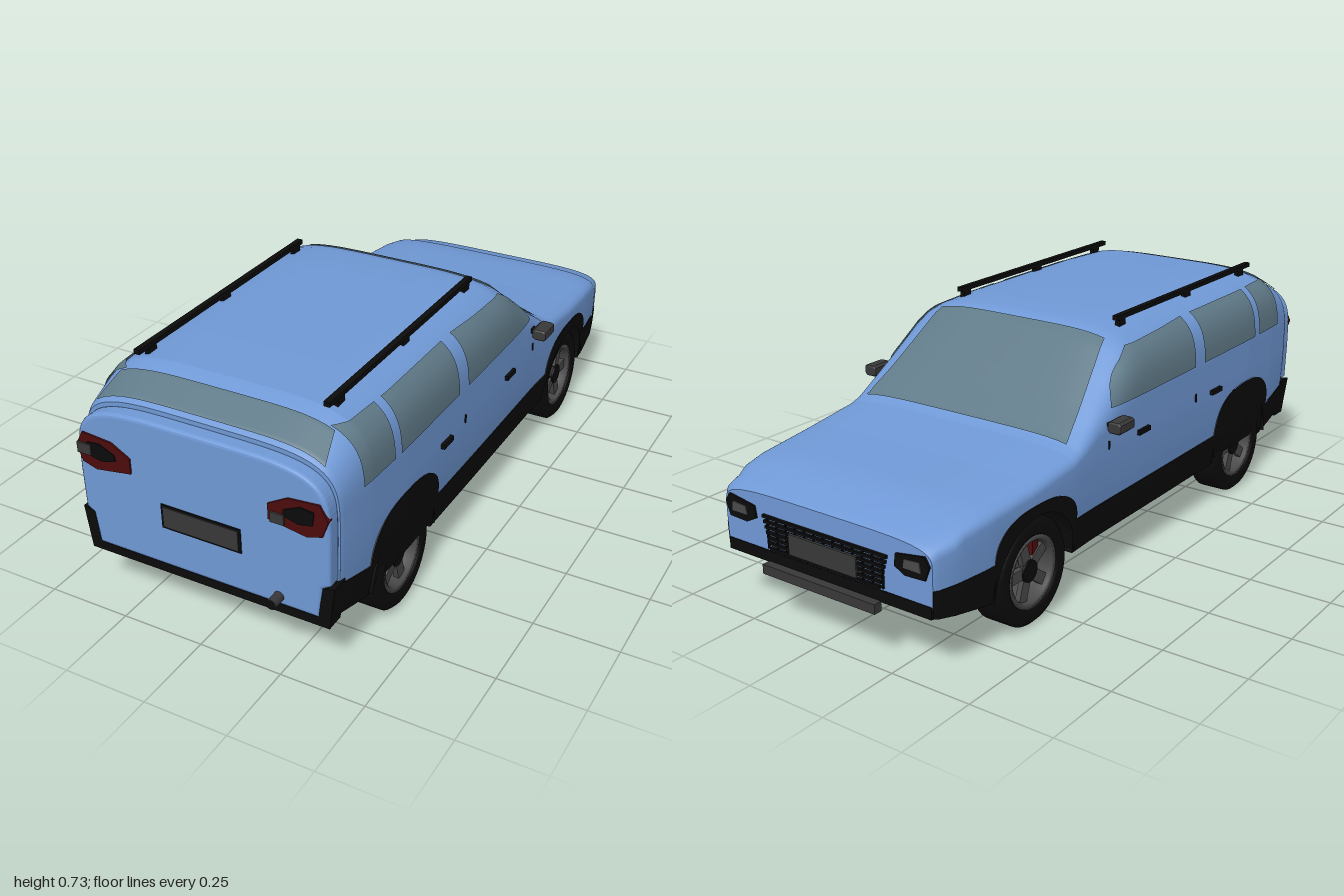
import * as THREE from 'three';

const mat = (name, color, double) => {
  const m = new THREE.MeshStandardMaterial({ color });
  m.name = name;
  if (double) m.side = THREE.DoubleSide;
  return m;
};

// Body stations: z, half width, top height (tail is +z)
const KEYS = [
  [-0.965, 0.365, 0.366], [-0.95, 0.375, 0.38], [-0.9, 0.388, 0.389], [-0.87, 0.393, 0.406],
  [-0.8, 0.402, 0.417], [-0.6, 0.412, 0.433], [-0.42, 0.414, 0.455], [-0.38, 0.414, 0.468],
  [-0.3, 0.414, 0.53], [-0.2, 0.414, 0.615], [-0.13, 0.414, 0.674], [-0.09, 0.414, 0.696],
  [-0.05, 0.414, 0.705], [0.1, 0.414, 0.712], [0.6, 0.411, 0.713], [0.78, 0.404, 0.708],
  [0.83, 0.4, 0.691], [0.9, 0.393, 0.656], [0.915, 0.388, 0.642]];
const P = 4.5;
const ARCH = { front: { z: -0.58, half: 0.18, top: 0.36 }, rear: { z: 0.585, half: 0.19, top: 0.385 } };
const lerp = THREE.MathUtils.lerp;

function station(z) {
  let i = 0;
  while (i < KEYS.length - 2 && z > KEYS[i + 1][0]) i++;
  const a = KEYS[i], b = KEYS[i + 1];
  const t = THREE.MathUtils.clamp((z - a[0]) / (b[0] - a[0]), 0, 1);
  const w = lerp(a[1], b[1], t), top = lerp(a[2], b[2], t);
  return { w, top, belt: Math.min(0.42, top - 0.07) };
}

// Half width of the body at a height, and roof height at a half width
function sideX(z, y) {
  const { w, top, belt } = station(z);
  if (y <= belt) return w * (1 - 0.06 * ((belt - y) / 0.28) ** 2);
  return w * Math.max(0, 1 - Math.min(1, (y - belt) / (top - belt)) ** P) ** (1 / P);
}
function topY(z, x) {
  const { w, top, belt } = station(z);
  return belt + (top - belt) * Math.max(0, 1 - (Math.abs(x) / w) ** P) ** (1 / P);
}

// Lower edge of the paint, bottom of the car, and lower edge of the cladding
function paintY(z) {
  let y = z > 0.77 ? lerp(0.25, 0.285, (z - 0.77) / 0.145) : 0.25;
  for (const { z: c, half, top } of Object.values(ARCH)) {
    const d = Math.abs(z - c) / half;
    if (d < 1) y = Math.max(y, 0.25 + (top - 0.25) * (1 - d ** 2.4) ** (1 / 2.4));
  }
  return y;
}
function floorY(z) {
  if (z > 0.72) return lerp(0.135, 0.185, (z - 0.72) / 0.2);
  if (z < -0.74) return lerp(0.135, 0.172, (-z - 0.74) / 0.22);
  return 0.145;
}
function claddingY(z) {
  const d = Math.abs(z - ARCH.front.z);
  if (d < 0.172) return Math.max(0.145, 0.155 + Math.sqrt(0.172 ** 2 - d * d));
  return Math.abs(z - ARCH.rear.z) < 0.17 ? 0.165 : floorY(z);
}

// Indexed grid surface from a rule f(u, v) -> [x, y, z]
function surface(nu, nv, f) {
  const pos = [], idx = [];
  for (let i = 0; i <= nu; i++) for (let j = 0; j <= nv; j++) pos.push(...f(i / nu, j / nv, i, j));
  for (let i = 0; i < nu; i++) for (let j = 0; j < nv; j++) {
    const a = i * (nv + 1) + j, b = a + nv + 1;
    idx.push(a, a + 1, b, b, a + 1, b + 1);
  }
  const g = new THREE.BufferGeometry();
  g.setAttribute('position', new THREE.Float32BufferAttribute(pos, 3));
  g.setIndex(idx);
  g.computeVertexNormals();
  return g;
}

// Half section from the top centre down to a given height
function halfSection(z, low) {
  const { w, top, belt } = station(z), pts = [];
  for (let i = 0; i <= 22; i++) {
    const a = Math.PI / 2 * (1 - i / 22);
    pts.push([w * Math.max(0, Math.cos(a)) ** (2 / P), belt + (top - belt) * Math.sin(a) ** (2 / P)]);
  }
  pts[0][0] = 0;
  for (let i = 1; i <= 6; i++) {
    const y = lerp(belt, low, i / 6);
    pts.push([sideX(z, y), y]);
  }
  return pts;
}
const fullSection = (z, low) => {
  const h = halfSection(z, low);
  return [...h.slice(1).reverse().map(([x, y]) => [-x, y]), ...h];
};
const toShape = pts => new THREE.Shape(pts.map(p => new THREE.Vector2(...p)));

export function createModel() {
  const car = new THREE.Group();
  car.name = 'car';
  const paint = mat('bluePaint', 0x7099d6, true), black = mat('blackTrim', 0x0b0b0b, true);
  const glass = mat('tintedGlass', 0x607a88, true), grey = mat('darkGrey', 0x383838);
  const rimGrey = mat('rimGrey', 0x4a4a4a), red = mat('darkRed', 0x4c0c0c);

  const add = (name, geo, m, x = 0, y = 0, z = 0, parent = car) => {
    const mesh = new THREE.Mesh(geo, m);
    mesh.name = name;
    mesh.position.set(x, y, z);
    parent.add(mesh);
    return mesh;
  };
  const box = (name, m, w, h, d, x, y, z) => add(name, new THREE.BoxGeometry(w, h, d), m, x, y, z);
  const plate = (name, m, pts, z, depth = 0.005) =>
    add(name, new THREE.ExtrudeGeometry(toShape(pts), { depth, bevelEnabled: false }), m, 0, 0, z);
  const rect = (x, y, w, h) => [[x - w, y - h], [x + w, y - h], [x + w, y + h], [x - w, y + h]];

  // Stations along the body, denser around the arches
  const zs = KEYS.map(k => k[0]);
  for (const { z, half } of Object.values(ARCH))
    for (let i = 0; i <= 28; i++) zs.push(z - half * Math.cos(Math.PI * i / 28));
  zs.push(-0.753, -0.751, -0.409, -0.407, 0.414, 0.416, 0.754, 0.756);
  zs.sort((a, b) => a - b);

  // Painted shell
  const rings = zs.map(z => fullSection(z, paintY(z)));
  add('bodyShell', surface(zs.length - 1, rings[0].length - 1, (u, v, i, j) => [...rings[i][j], zs[i]]), paint);
  add('nosePanel', new THREE.ShapeGeometry(toShape(fullSection(-0.965, 0.2))), paint, 0, 0, -0.965);
  add('rearPanel', new THREE.ShapeGeometry(toShape(fullSection(0.915, 0.19))), paint, 0, 0, 0.915);

  // Floor
  const floor = (z0, z1, narrow) => add('floor', surface(12, 1, (u, v) => {
    const z = lerp(z0, z1, u), y = floorY(z);
    return [(v * 2 - 1) * (narrow ? 0.28 : sideX(z, y)), y, z];
  }), black);
  floor(-0.965, 0.915, true);
  floor(-0.965, -0.755);
  floor(-0.405, 0.412);
  floor(0.757, 0.915);
  box('underTray', black, 0.54, 0.035, 0.85, 0, 0.13, -0.005);

  // Tailgate with rounded top
  const gate = [[-0.345, 0.192], [0.345, 0.192], [0.357, 0.285], [0.38, 0.3]];
  for (let i = 0; i <= 40; i++) {
    const a = Math.PI * i / 40, c = Math.cos(a);
    gate.push([0.383 * Math.sign(c) * Math.abs(c) ** (2 / P), 0.42 + 0.21 * Math.max(0, Math.sin(a)) ** (2 / P)]);
  }
  gate.push([-0.38, 0.3], [-0.357, 0.285]);
  add('tailgate', new THREE.ExtrudeGeometry(toShape(gate), {
    depth: 0.03, bevelThickness: 0.01, bevelSize: 0.012, bevelOffset: -0.012, bevelSegments: 3
  }), paint, 0, 0, 0.92);
  plate('rearBumper', black, [[-0.375, 0.165], [0.375, 0.165], [0.392, 0.295], [0.358, 0.288], [0.342, 0.192],
    [-0.342, 0.192], [-0.358, 0.288], [-0.392, 0.295]], 0.9, 0.055);
  plate('rearPlateFrame', black, rect(0, 0.354, 0.123, 0.037), 0.958);
  plate('rearPlate', grey, rect(0, 0.354, 0.116, 0.031), 0.961);
  const pipe = add('exhaust', new THREE.CylinderGeometry(0.015, 0.015, 0.09, 16), grey, 0.23, 0.22, 0.955);
  pipe.rotation.x = Math.PI / 2;
  add('exhaustOpening', new THREE.CircleGeometry(0.014, 16), black, 0.23, 0.22, 1.0005);
  plate('leftReflector', grey, rect(0.24, 0.47, 0.02, 0.015), 0.967);
  plate('rightReflector', grey, rect(-0.353, 0.497, 0.022, 0.016), 0.967);

  // Nose: grille, plate and bumper
  for (let i = 0; i < 7; i++) box('grilleBar', black, 0.44 - i * 0.008, 0.008, 0.012, 0, 0.305 - i * 0.015, -0.967);
  for (let i = -6; i <= 6; i++) box('grilleSlat', black, 0.004, 0.095, 0.008, i * 0.034, 0.26, -0.967);
  box('frontPlate', grey, 0.24, 0.06, 0.006, 0, 0.25, -0.974);
  box('frontLip', black, 0.72, 0.034, 0.06, 0, 0.188, -0.938);
  box('frontBar', grey, 0.4, 0.028, 0.026, 0, 0.165, -0.987);

  // Windscreen and rear window follow the shell
  const topGlass = (name, z0, z1, w0, w1, dz) => add(name, surface(24, 24, (u, v) => {
    const z = lerp(z0, z1, u), x = (v * 2 - 1) * lerp(w0, w1, u);
    return [x, topY(z, x) + 0.004, z + dz];
  }), glass);
  topGlass('windscreen', -0.388, -0.1, 0.366, 0.3, -0.003);
  topGlass('rearWindow', 0.822, 0.905, 0.325, 0.345, 0.003);

  for (const s of [1, -1]) {
    const mirror = pts => pts.map(([x, y]) => [x * s, y]);

    // Side cladding and arches
    add('sideCladding', surface(zs.length - 1, 4, (u, v, i) => {
      const z = zs[i], y = lerp(paintY(z), claddingY(z), v);
      return [s * (sideX(z, y) + 0.002), y, z];
    }), black);

    // Side windows: rear and front edge given as z at the bottom and top
    const sideGlass = [['quarterWindow', 0.82, 0.82, 0.668, 0.668], ['rearDoorWindow', 0.636, 0.636, 0.292, 0.292],
      ['frontDoorWindow', 0.235, 0.235, -0.232, -0.085]];
    for (const [name, a0, a1, b0, b1] of sideGlass)
      add(name, surface(24, 14, (u, v) => {
        const bow = b0 === b1 ? 0 : 0.025 * Math.sin(Math.PI * v) * u;
        const z = lerp(lerp(a0, a1, v), lerp(b0, b1, v), u) - bow;
        const y = lerp(0.522, lerp(0.674, b0 === b1 ? 0.674 : 0.66, u), v);
        return [s * (sideX(z, y) + 0.004), y + 0.003, z];
      }), glass);

    // Door handles and small seams
    for (const z of [0.37, -0.068]) box('doorHandle', black, 0.014, 0.014, 0.06, s * 0.417, 0.413, z);
    for (const z of [0.245, -0.25]) box('doorSeam', black, 0.006, 0.025, 0.005, s * 0.414, 0.422, z);

    // Roof rail on feet
    box('roofRail', black, 0.018, 0.014, 0.83, s * 0.288, 0.719, 0.385);
    for (const z of [0.0, 0.385, 0.74]) box('railFoot', black, 0.014, 0.03, 0.035, s * 0.288, 0.704, z);

    // Door mirror
    const housing = add('mirrorHousing', new THREE.SphereGeometry(1, 6, 4).rotateY(Math.PI / 6), grey, s * 0.449, 0.487, -0.245);
    housing.geometry.dispose();
    housing.geometry = new THREE.ExtrudeGeometry(toShape([[-0.024, -0.01], [-0.014, -0.018], [0.016, -0.018],
      [0.024, -0.008], [0.022, 0.014], [0.012, 0.019], [-0.016, 0.019], [-0.024, 0.012]]),
    { depth: 0.055, bevelThickness: 0.01, bevelSize: 0.006, bevelOffset: -0.006, bevelSegments: 2 }).translate(0, 0, -0.027);
    box('mirrorStalk', black, 0.04, 0.014, 0.025, s * 0.413, 0.483, -0.245);

    // Tail lamp and headlamp
    plate('tailLamp', red, mirror([[0.21, 0.456], [0.21, 0.502], [0.268, 0.535], [0.36, 0.543], [0.383, 0.5],
      [0.366, 0.452], [0.322, 0.438]]), 0.945, 0.02);
    plate('tailLampCore', black, mirror([[0.255, 0.482], [0.257, 0.5], [0.305, 0.522], [0.345, 0.518], [0.34, 0.478], [0.3, 0.47]]), 0.963);
    plate('headlamp', black, mirror([[0.245, 0.29], [0.25, 0.325], [0.345, 0.34], [0.36, 0.315], [0.345, 0.275], [0.28, 0.272]]), -0.971, 0.008);
    plate('headlampLens', rimGrey, mirror([[0.275, 0.293], [0.28, 0.318], [0.33, 0.322], [0.335, 0.292]]), -0.974, 0.005);

    // Wheels and wells
    for (const [end, { z }] of Object.entries(ARCH)) {
      const wheel = new THREE.Group();
      wheel.name = end + 'Wheel';
      wheel.position.set(s * 0.3425, 0.155, z);
      wheel.rotation.z = -s * Math.PI / 2;
      car.add(wheel);
      const ring = pts => new THREE.LatheGeometry(pts.map(p => new THREE.Vector2(...p)), 40);
      add('tyre', ring([[0.104, -0.046], [0.112, -0.052], [0.143, -0.052], [0.155, -0.04], [0.155, 0.04],
        [0.143, 0.052], [0.112, 0.052], [0.104, 0.046], [0.104, -0.046]]), black, 0, 0, 0, wheel);
      add('rim', ring([[0.09, -0.045], [0.105, -0.048], [0.105, 0.048], [0.09, 0.045], [0.085, 0.02], [0.09, -0.045]]),
        rimGrey, 0, 0, 0, wheel);
      add('hub', new THREE.CylinderGeometry(0.032, 0.036, 0.05, 20), black, 0, 0.014, 0, wheel);
      for (let i = 0; i < 5; i++) {
        const a = i * Math.PI * 0.4 + 0.3;
        const spoke = add('spoke', new THREE.BoxGeometry(0.065, 0.016, 0.034), rimGrey,
          0.058 * Math.cos(a), 0.026, -0.058 * Math.sin(a), wheel);
        spoke.rotation.y = a;
      }
      if (end === 'front') box('brakeCaliper', red, 0.02, 0.045, 0.026, s * 0.362, 0.213, z + 0.035);
      add('wheelWell', surface(24, 1, (u, v) => [s * lerp(0.275, 0.4, v),
        0.155 + 0.183 * Math.sin(Math.PI * u), z + 0.183 * Math.cos(Math.PI * u)]), black);
      const wall = add('wellWall', new THREE.CircleGeometry(0.185, 24, 0, Math.PI), black, s * 0.275, 0.15, z);
      wall.rotation.y = Math.PI / 2;
    }
  }
  return car;
}
